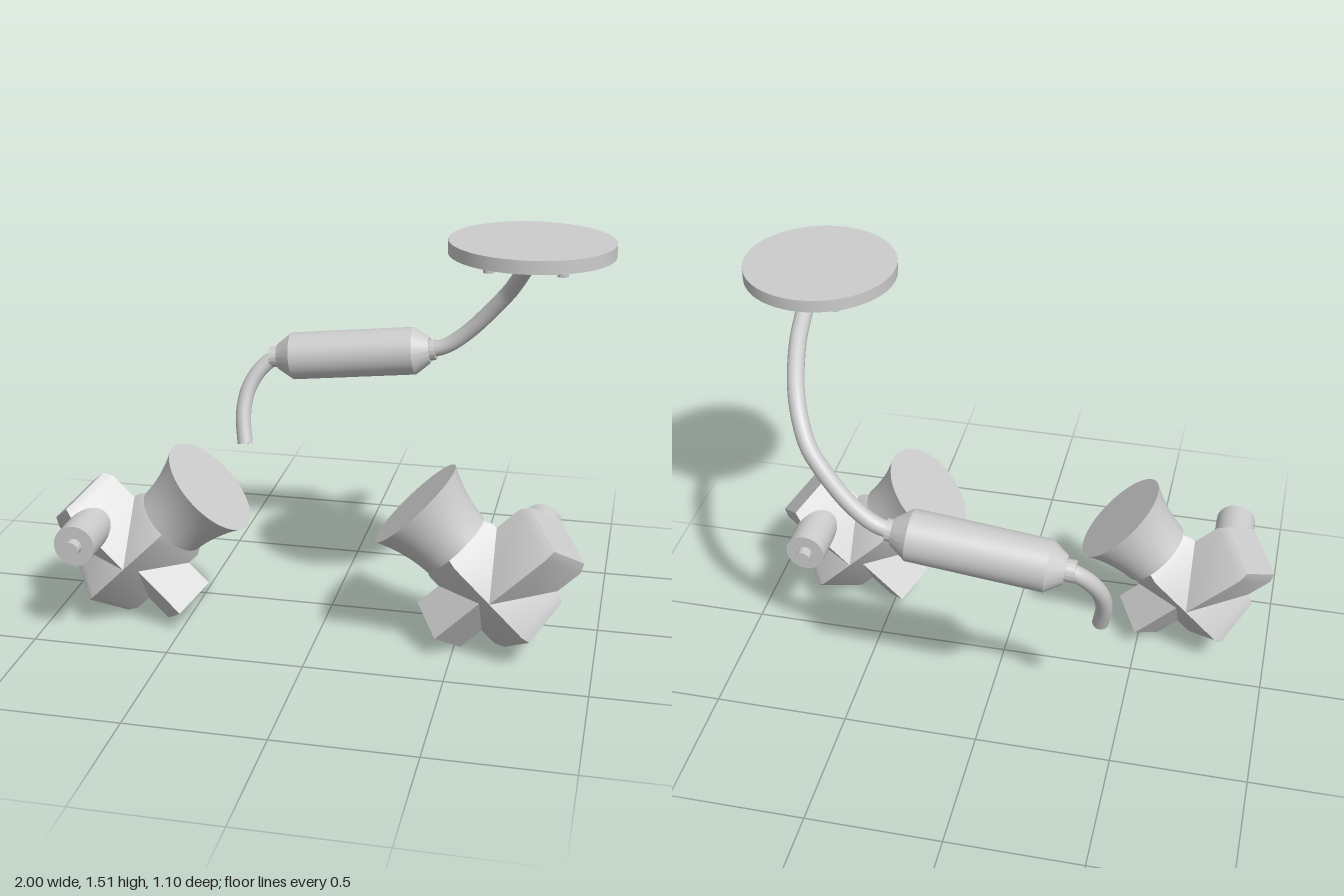
import * as THREE from 'three';
import { toCreasedNormals } from 'three/addons/utils/BufferGeometryUtils.js';

const grey = new THREE.MeshStandardMaterial({ color: 0xcccccc });
grey.name = 'plain grey';

function add(parent, geometry, name) {
  const mesh = new THREE.Mesh(geometry, grey);
  mesh.name = name;
  parent.add(mesh);
  return mesh;
}

// Closed turned solid along y from [radius, height] pairs; 4 sides gives a square prism
function turned(profile, sides) {
  const pts = profile.map(([r, y]) => new THREE.Vector2(r, y));
  pts.unshift(new THREE.Vector2(0, pts[0].y));
  pts.push(new THREE.Vector2(0, pts[pts.length - 1].y));
  return toCreasedNormals(new THREE.LatheGeometry(pts, sides), 0.4);
}

// Round pipe with end caps
function pipe(parent, points, radius, name) {
  const curve = new THREE.CatmullRomCurve3(points.map((p) => new THREE.Vector3(...p)));
  add(parent, new THREE.TubeGeometry(curve, 40, radius, 20), name);
  [0, 1].forEach((t) => {
    const cap = add(parent, new THREE.CircleGeometry(radius, 20), name + 'End');
    const out = curve.getTangentAt(t).multiplyScalar(t ? 1 : -1);
    cap.position.copy(curve.getPointAt(t));
    cap.quaternion.setFromUnitVectors(new THREE.Vector3(0, 0, 1), out);
  });
}

// Horn unit: local +y runs out of the horn, origin at the mouth centre
function hornUnit(name) {
  const unit = new THREE.Group();
  unit.name = name;

  const flare = [];
  for (let i = 0; i <= 10; i++) {
    const t = i / 10;
    flare.push([0.139 + 0.015 * t + 0.041 * t * t, -0.205 + 0.205 * t]);
  }
  add(unit, turned(flare, 48), 'horn');

  add(unit, turned([[0.138, -0.61], [0.157, -0.575], [0.157, -0.235], [0.138, -0.2]], 4), 'body');

  // Large side block with bevelled end
  const block = add(unit, turned([[0.157, 0], [0.157, 0.265], [0.138, 0.3]], 4), 'sideBlock');
  block.rotation.z = Math.PI / 2;
  block.position.y = -0.41;

  // Small side block opposite
  const plug = add(unit, turned([[0.113, 0], [0.113, 0.262]], 4), 'smallBlock');
  plug.rotation.z = -Math.PI / 2;
  plug.position.y = -0.397;

  // Stepped knob
  const knob = add(unit, turned([[0.075, 0.06], [0.075, 0.277], [0.029, 0.277], [0.029, 0.315]], 32), 'knob');
  knob.rotation.x = Math.PI / 2;
  knob.position.set(-0.191, -0.41, 0);
  return unit;
}

export function createModel() {
  const model = new THREE.Group();
  model.name = 'pipeAndHorns';

  // Two horn units facing each other
  const right = hornUnit('rightHornUnit');
  right.position.set(-0.4, 0.548, 0.233);
  right.rotation.set(0, 0, -Math.PI / 4);
  const left = hornUnit('leftHornUnit');
  left.position.set(0.349, 0.548, 0.233);
  left.rotation.set(0, Math.PI, -Math.PI / 4);
  model.add(right, left);

  // Round plate with six studs underneath
  const plate = new THREE.Group();
  plate.name = 'roundPlate';
  plate.position.set(0.721, 0, 0.233);
  add(plate, turned([[0.276, 1.468], [0.276, 1.513]], 64), 'disc');
  for (let i = 0; i < 6; i++) {
    const a = (i * Math.PI) / 3;
    const stud = add(plate, turned([[0.018, 1.45], [0.018, 1.475]], 16), 'stud');
    stud.position.set(0.235 * Math.cos(a), 0, 0.235 * Math.sin(a));
  }
  model.add(plate);

  // Canister with tapered ends and collars
  const canister = add(model, turned([
    [0.04, -0.335], [0.04, -0.302], [0.05, -0.302], [0.092, -0.242],
    [0.092, 0.242], [0.05, 0.302], [0.04, 0.302], [0.04, 0.325],
  ], 48), 'canister');
  canister.position.set(-0.012, 0.864, -0.455);
  canister.rotation.z = -Math.PI / 2 + 0.11;

  pipe(model, [
    [0.72, 1.44, 0.045], [0.7, 1.38, -0.12], [0.655, 1.28, -0.29], [0.595, 1.17, -0.39],
    [0.545, 1.105, -0.42], [0.437, 0.985, -0.45], [0.35, 0.918, -0.457], [0.28, 0.895, -0.457],
  ], 0.03, 'upperPipe');
  pipe(model, [
    [-0.31, 0.833, -0.455], [-0.345, 0.815, -0.45], [-0.39, 0.77, -0.43],
    [-0.425, 0.7, -0.4], [-0.435, 0.61, -0.363], [-0.42, 0.505, -0.325],
  ], 0.03, 'outletPipe');

  return model;
}
